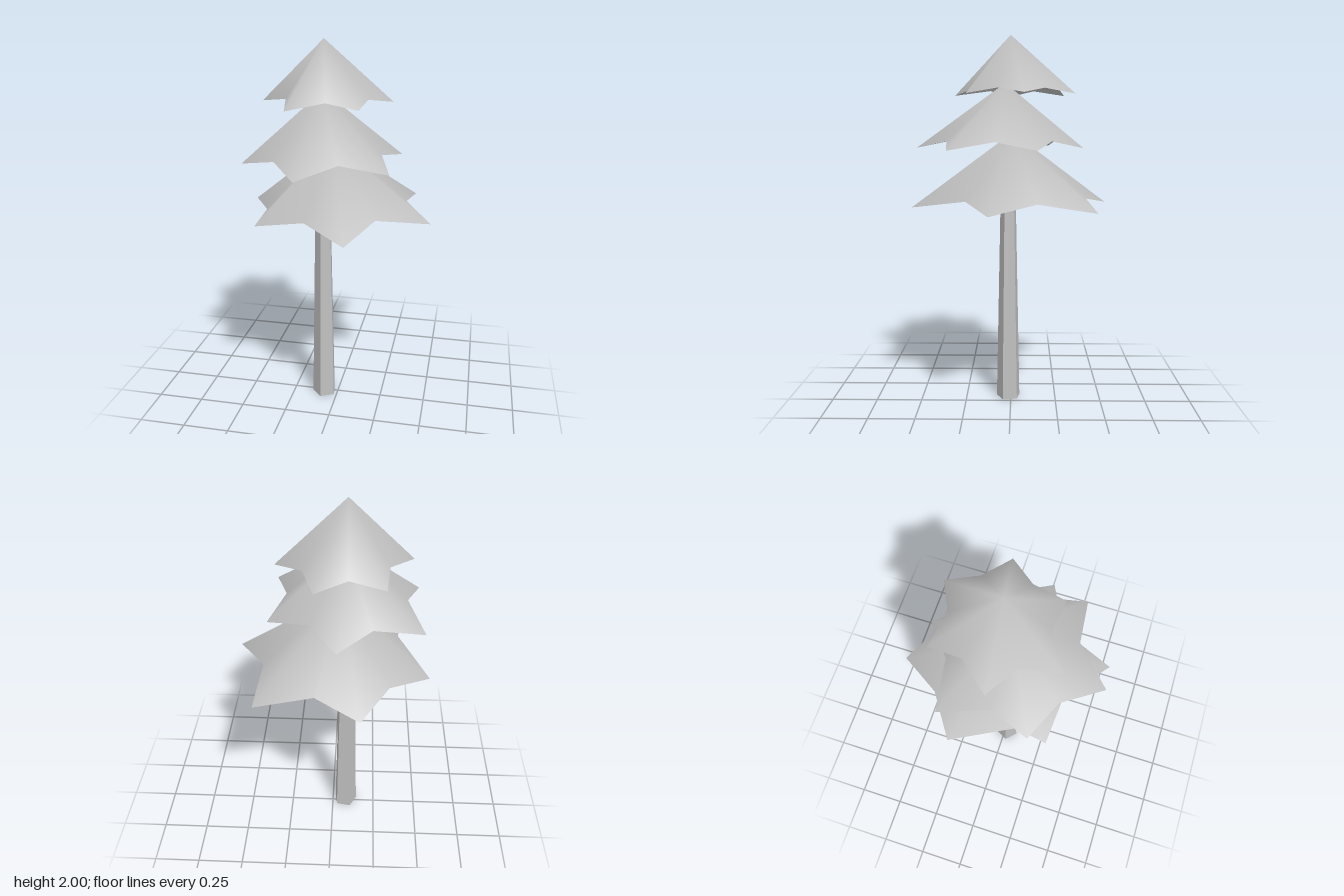
import * as THREE from 'three';

// One open star-shaped tier: rim points alternate tip, notch around the apex
function makeTier(apex, tipY, notchY, rim) {
  const positions = [...apex];
  const index = [];
  const n = rim.length;
  rim.forEach(([x, z], i) => {
    positions.push(x, i % 2 ? notchY : tipY, z);
    index.push(0, ((i + 1) % n) + 1, i + 1);
  });
  const geometry = new THREE.BufferGeometry();
  geometry.setAttribute('position', new THREE.Float32BufferAttribute(positions, 3));
  geometry.setIndex(index);
  geometry.computeVertexNormals();
  return geometry;
}

export function createModel() {
  const group = new THREE.Group();
  const grey = new THREE.MeshStandardMaterial({ color: 0xc0c0c0, side: THREE.DoubleSide });
  grey.name = 'plainGrey';

  // Tapered five-sided trunk, reaching just through the lowest tier
  const height = 1.47;
  const trunkGeometry = new THREE.CylinderGeometry(0.037, 0.068, height, 5).toNonIndexed();
  trunkGeometry.computeVertexNormals();
  const trunk = new THREE.Mesh(trunkGeometry, grey);
  trunk.name = 'trunk';
  trunk.position.set(-0.075, height / 2, 0.013);
  trunk.rotation.y = -Math.PI / 18;
  group.add(trunk);

  // Foliage tiers, six points each
  const tiers = [
    {
      name: 'lowerFoliage', apex: [-0.03, 1.49, -0.01], tipY: 1.105, notchY: 1.147,
      rim: [[-0.15, -0.52], [0.075, -0.395], [0.375, -0.43], [0.352, -0.135], [0.5, 0.1], [0.235, 0.225],
        [0.13, 0.512], [-0.105, 0.33], [-0.365, 0.31], [-0.345, 0.15], [-0.5, -0.165], [-0.29, -0.305]],
    },
    {
      name: 'middleFoliage', apex: [-0.07, 1.75, 0.03], tipY: 1.405, notchY: 1.445,
      rim: [[-0.03, -0.39], [0.105, -0.215], [0.32, -0.135], [0.24, 0.075], [0.31, 0.31], [0.07, 0.333],
        [-0.105, 0.515], [-0.25, 0.32], [-0.445, 0.23], [-0.375, 0.035], [-0.455, -0.215], [-0.2, -0.25]],
    },
    {
      name: 'upperFoliage', apex: [-0.07, 2, 0], tipY: 1.688, notchY: 1.715,
      rim: [[-0.255, -0.295], [-0.08, -0.26], [0.075, -0.335], [0.135, -0.175], [0.275, -0.07], [0.165, 0.06],
        [0.145, 0.225], [-0.02, 0.205], [-0.195, 0.31], [-0.24, 0.115], [-0.39, 0.015], [-0.27, -0.125]],
    },
  ];
  for (const { name, apex, tipY, notchY, rim } of tiers) {
    const tier = new THREE.Mesh(makeTier(apex, tipY, notchY, rim), grey);
    tier.name = name;
    group.add(tier);
  }
  return group;
}
